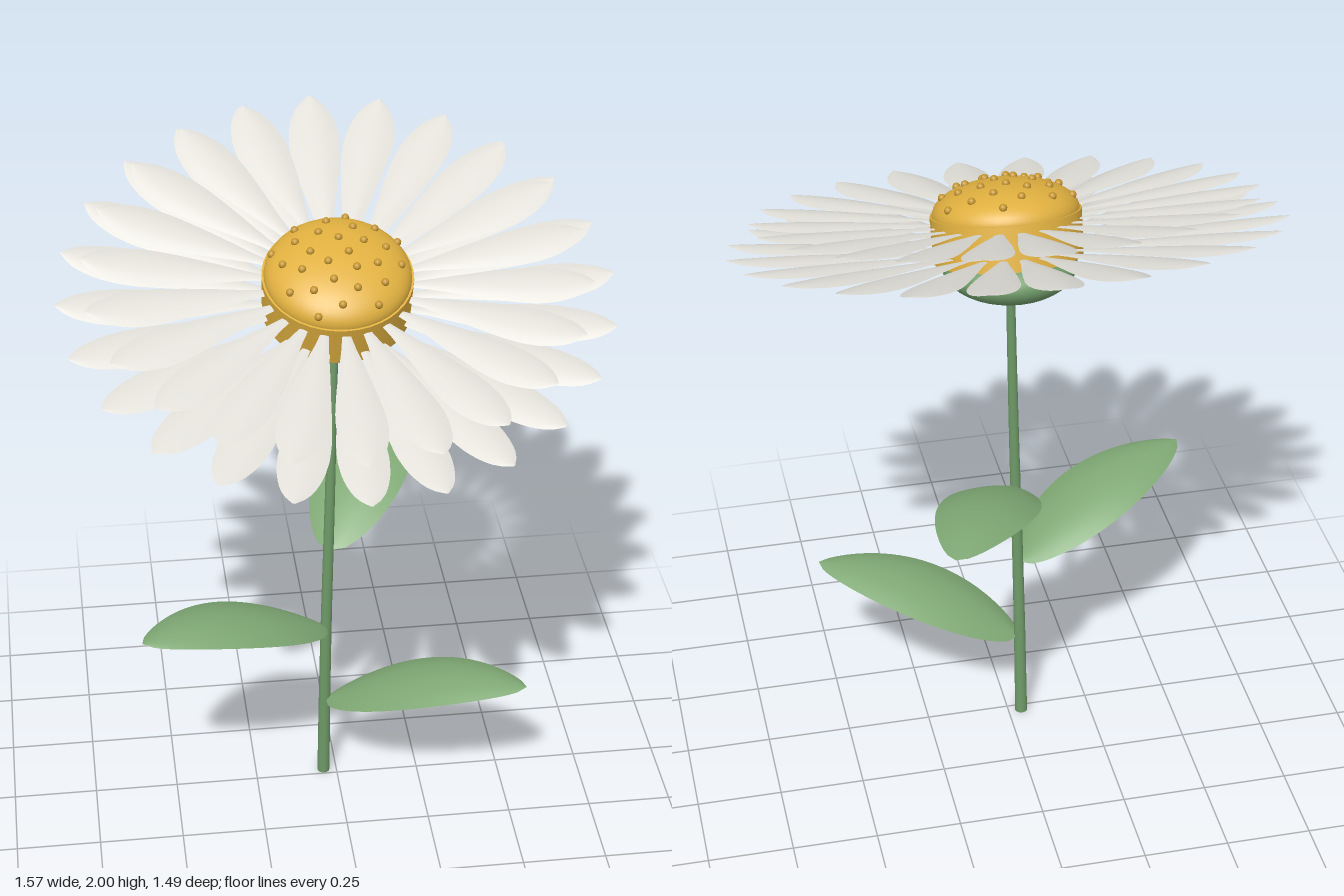
import * as THREE from 'three';

const mat = (name, color, side = THREE.FrontSide) => {
  const m = new THREE.MeshStandardMaterial({ color, side });
  m.name = name;
  return m;
};

// Blade lying along +z with drooping edges: half-width and lift follow t = 0 (base) to 1 (tip)
function blade(length, halfWidth, lift, droop, across, along) {
  const g = new THREE.PlaneGeometry(1, 1, across, along);
  const p = g.attributes.position;
  for (let i = 0; i < p.count; i++) {
    const s = p.getX(i) * 2, t = 0.5 - p.getY(i), w = halfWidth(t);
    p.setXYZ(i, s * w, lift(t) - droop * s * s * w, t * length);
  }
  g.computeVertexNormals();
  return g;
}

// Linear interpolation through [t, value] pairs
function lookup(table) {
  return (t) => {
    let k = 1;
    while (k < table.length - 1 && t > table[k][0]) k++;
    const [a, va] = table[k - 1], [b, vb] = table[k];
    return va + (vb - va) * (t - a) / (b - a);
  };
}

export function createModel() {
  const white = mat('petalWhite', 0xe2e0d9, THREE.DoubleSide);
  const gold = mat('discGold', 0xe0b040);
  const seedGold = mat('floretGold', 0xc4952f);
  const leafGreen = mat('leafGreen', 0x7fa874, THREE.DoubleSide);
  const stemGreen = mat('stemGreen', 0x6f9a68);

  const root = new THREE.Group();
  root.name = 'flower';
  const add = (parent, name, geometry, material) => {
    const m = new THREE.Mesh(geometry, material);
    m.name = name;
    parent.add(m);
    return m;
  };

  // Gently bowed stem, tapering toward the head
  const path = new THREE.CatmullRomCurve3([
    [-0.04, 0, -0.022], [-0.037, 0.3, -0.01], [-0.032, 0.6, 0.0],
    [-0.022, 1.0, 0.005], [-0.01, 1.45, -0.005], [-0.005, 1.6, -0.015],
  ].map((v) => new THREE.Vector3(...v)));
  const rings = 32, sides = 12;
  const stem = new THREE.TubeGeometry(path, rings, 0.019, sides, false);
  const sp = stem.attributes.position, v = new THREE.Vector3();
  for (let i = 0; i < sp.count; i++) {
    const t = Math.floor(i / (sides + 1)) / rings;
    const c = path.getPointAt(t);
    v.fromBufferAttribute(sp, i).sub(c).multiplyScalar(1 - 0.33 * t).add(c);
    sp.setXYZ(i, v.x, Math.max(0, v.y), v.z);
  }
  add(root, 'stem', stem, stemGreen);
  const foot = add(root, 'stemFoot', new THREE.CircleGeometry(0.019, sides), stemGreen);
  foot.rotation.x = Math.PI / 2;
  foot.position.set(-0.04, 0.001, -0.022);

  // Three arched leaves around the stem: base point and heading of the tip
  const leafGeo = blade(0.63,
    (t) => 0.14 * Math.pow(Math.max(0, Math.sin(Math.PI * Math.pow(t, 0.88))), 0.66),
    (t) => 0.47 * t - 0.29 * t * t, 0.26, 10, 28);
  [
    [-0.035, 0.285, -0.01, 0.57, 0.26],
    [-0.032, 0.56, 0, -0.57, 0.28],
    [-0.025, 0.835, 0.003, 0.29, -0.56],
  ].forEach(([x, y, z, dx, dz], i) => {
    const leaf = add(root, 'leaf' + (i + 1), leafGeo, leafGreen);
    leaf.position.set(x, y, z);
    leaf.rotation.y = Math.atan2(dx, dz);
  });

  // Flattened green cup on top of the stem
  const calyx = add(root, 'calyx', new THREE.SphereGeometry(1, 32, 20), stemGreen);
  calyx.scale.set(0.19, 0.086, 0.19);
  calyx.position.set(0, 1.621, -0.032);
  calyx.rotation.x = 0.06;

  // Flower head, tipped toward the front
  const head = new THREE.Group();
  head.name = 'flowerHead';
  head.position.set(0, 1.635, -0.02);
  head.rotation.x = 0.32;
  root.add(head);

  const drum = add(head, 'discBase', new THREE.CylinderGeometry(0.212, 0.21, 0.13, 40), gold);
  drum.position.y = 0.065;
  const dome = add(head, 'discDome',
    new THREE.SphereGeometry(1, 40, 14, 0, Math.PI * 2, 0, Math.PI / 2), gold);
  dome.scale.set(0.206, 0.092, 0.206);
  dome.position.y = 0.13;

  // Florets spiralling over the dome
  const floretGeo = new THREE.SphereGeometry(0.0115, 10, 8);
  const florets = 28;
  for (let i = 0; i < florets; i++) {
    const r = 0.96 * Math.sqrt((i + 0.5) / florets), a = i * 2.39996;
    const f = add(head, 'floret', floretGeo, seedGold);
    f.position.set(0.206 * r * Math.cos(a), 0.132 + 0.092 * Math.sqrt(1 - r * r), 0.206 * r * Math.sin(a));
  }

  // Two petal layers, narrow at the base and lifting slightly toward the toothed tips
  const petalWidth = lookup([[0, 0.008], [0.15, 0.02], [0.3, 0.037], [0.45, 0.053], [0.6, 0.066],
    [0.7, 0.07], [0.8, 0.065], [0.88, 0.053], [0.94, 0.037], [0.965, 0.025], [1, 0.003]]);
  const layers = [
    { name: 'lowerPetal', count: 24, inner: 0.18, outer: 0.784, y: 0.032 },
    { name: 'upperPetal', count: 22, inner: 0.18, outer: 0.712, y: 0.106 },
  ];
  for (const { name, count, inner, outer, y } of layers) {
    const geo = blade(outer - inner, petalWidth, (t) => 0.06 * t - 0.016 * t * t, 0.2, 6, 28);
    geo.translate(0, y, inner);
    for (let i = 0; i < count; i++) {
      add(head, name, geo, white).rotation.y = (i / count) * Math.PI * 2;
    }
  }
  return root;
}
